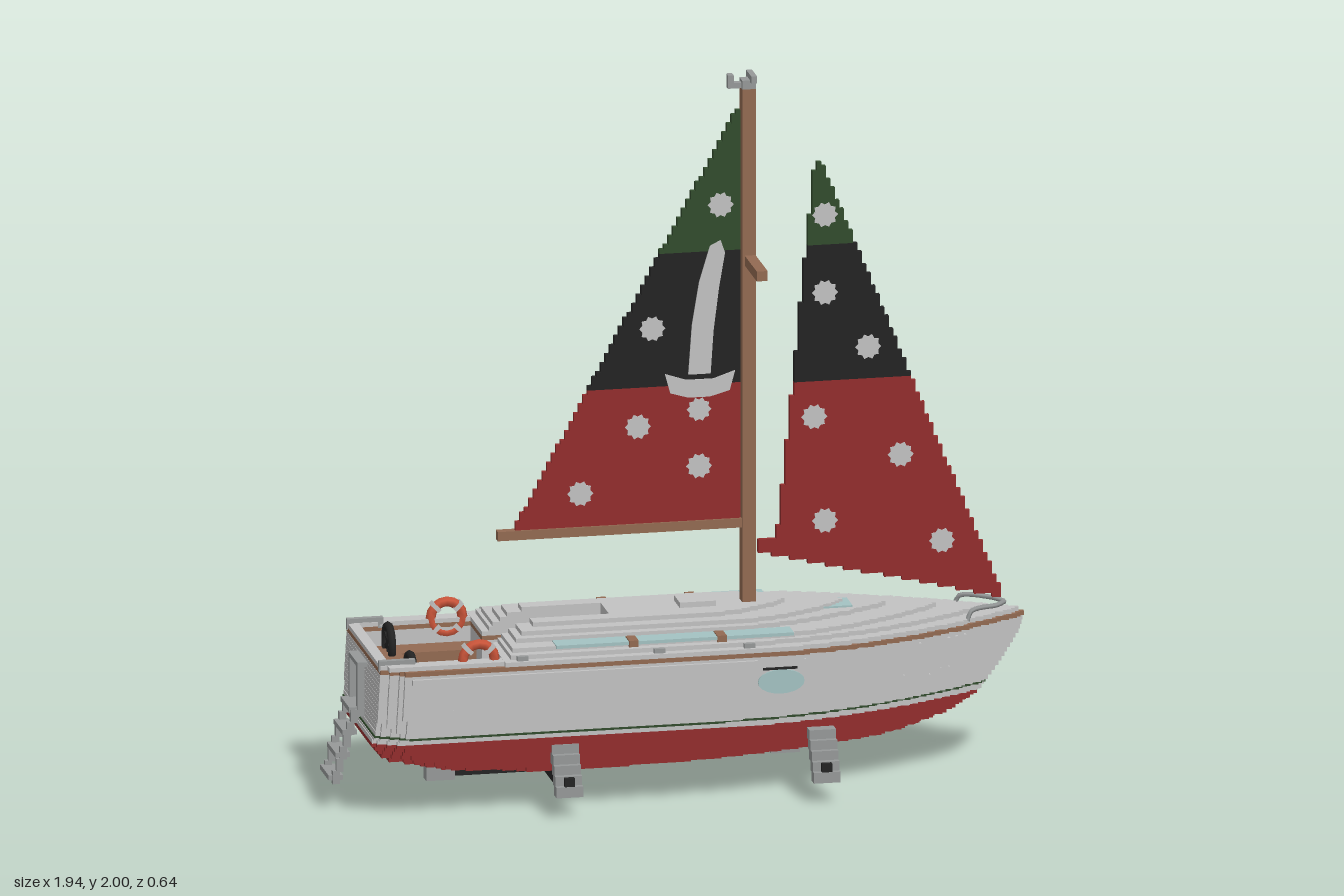
import * as THREE from 'three';

const V = 0.0125;   // step size of the blocky surface
const CZ = 0.035;   // centreline of the boat

const paint = (name, color) => Object.assign(new THREE.MeshStandardMaterial({ color }), { name });
const M = {
  grey: paint('pale grey', 0xc2c2c2),
  metal: paint('metal grey', 0x969999),
  red: paint('deep red', 0x932d2d),
  brown: paint('wood brown', 0x926a52),
  black: paint('black', 0x242424),
  green: paint('dark green', 0x324c2d),
  glass: paint('pale teal glass', 0xa3c2c2),
  orange: paint('life ring orange', 0xcb553a),
};

// Piecewise-linear lookup through [input, output] pairs
function lerpTable(table, v) {
  let i = 1;
  while (i < table.length - 1 && v > table[i][0]) i++;
  const [a, b] = [table[i - 1], table[i]];
  const t = Math.min(1, Math.max(0, (v - a[0]) / (b[0] - a[0])));
  return a[1] + (b[1] - a[1]) * t;
}

// Staircase outline between two curves lo(t) and hi(t)
function staircase(t0, t1, lo, hi, swap) {
  const n = Math.max(1, Math.round((t1 - t0) / V)), a = [], b = [];
  const put = (list, t, v) => list.push(swap ? new THREE.Vector2(v, t) : new THREE.Vector2(t, v));
  const snap = v => Math.round(v / V) * V;
  for (let i = 0; i < n; i++) {
    const s = t0 + (t1 - t0) * i / n, e = t0 + (t1 - t0) * (i + 1) / n, m = (s + e) / 2;
    const l = snap(lo(m)), h = Math.max(l + V, snap(hi(m)));
    put(a, s, l); put(a, e, l);
    put(b, s, h); put(b, e, h);
  }
  // Drop points lying on straight runs
  const pts = a.concat(b.reverse());
  return pts.filter((p, i) => {
    const q = pts[(i + pts.length - 1) % pts.length], r = pts[(i + 1) % pts.length];
    return Math.abs((p.x - q.x) * (r.y - p.y) - (p.y - q.y) * (r.x - p.x)) > 1e-9;
  });
}

const extrude = (shape, depth) => new THREE.ExtrudeGeometry(shape, { depth, bevelEnabled: false });

export function createModel() {
  const model = new THREE.Group();
  model.name = 'sailboat';

  const add = (name, geo, mat, x = 0, y = 0, z = CZ) => {
    const mesh = new THREE.Mesh(geo, mat);
    mesh.name = name;
    mesh.position.set(x, y, z);
    model.add(mesh);
    return mesh;
  };
  // Box from its limits; z is measured from the centreline
  const box = (name, mat, x0, x1, y0, y1, z0, z1) =>
    add(name, new THREE.BoxGeometry(x1 - x0, y1 - y0, z1 - z0), mat, (x0 + x1) / 2, (y0 + y1) / 2, CZ + (z0 + z1) / 2);
  const slab = (name, shape, mat, y, h) => add(name, extrude(shape, h).rotateX(-Math.PI / 2), mat, 0, y);

  // Hull: stacked slabs with staircase outlines
  const bow = [[0.11, 0.55], [0.13, 0.64], [0.17, 0.76], [0.22, 0.84], [0.3, 0.9], [0.38, 0.95], [0.43, 0.965]];
  const stern = [[0.11, -0.45], [0.13, -0.7], [0.17, -0.85], [0.22, -0.89], [0.26, -0.88], [0.44, -0.87]];
  const beam = [[0.11, 0.165], [0.16, 0.2], [0.22, 0.228], [0.235, 0.255], [0.3, 0.265], [0.44, 0.265]];
  const well = [[-0.84, -0.205], [-0.53, -0.205], [-0.53, -0.055], [-0.2, -0.055],
    [-0.2, 0.055], [-0.53, 0.055], [-0.53, 0.205], [-0.84, 0.205]].map(p => new THREE.Vector2(...p));
  const hullSlab = (name, mat, y, h) => {
    const ym = y + h / 2, x1 = lerpTable(bow, ym), x0 = lerpTable(stern, ym), w = lerpTable(beam, ym);
    const half = x => {
      const t = Math.min(1, (x1 - x) / 0.8), s = Math.min(1, 0.82 + (x - x0) * 2.2);
      return w * (1 - (1 - t) ** 2) * s;
    };
    const shape = new THREE.Shape(staircase(x0, x1, x => -half(x), half));
    if (y > 0.3) shape.holes.push(new THREE.Path(well));
    slab(name, shape, mat, y, h);
  };
  for (let i = 0; i < 26; i++) {
    const y = 0.11 + i * V;
    if (i < 9) hullSlab('hullBottom', M.red, y, V);
    else if (i === 10) {
      hullSlab('hullSide', M.grey, y, V / 2);
      hullSlab('waterline', M.green, y + V / 2, V / 2);
    } else if (i === 25) hullSlab('deckTrim', M.brown, y, V);
    else hullSlab('hullSide', M.grey, y, V);
  }

  // Deck and cabin roof: shrinking terraces with a companionway slot
  [[0.265, 0.95, -0.53, 0.8], [0.235, 0.86, -0.51, 0.72], [0.215, 0.72, -0.5, 0.55], [0.165, 0.58, -0.48, 0.5],
    [0.14, 0.46, -0.46, 0.35], [0.1, 0.3, -0.42, 0.25]].forEach(([w, x1, x0, taper], i) => {
    const half = x => w * (1 - (1 - Math.min(1, (x1 - x) / taper)) ** 2);
    const pts = staircase(x0, x1, x => -half(x), half);
    for (const p of [[x0, 0.055], [-0.2, 0.055], [-0.2, -0.055], [x0, -0.055]]) pts.push(new THREE.Vector2(...p));
    slab('cabinTerrace', new THREE.Shape(pts), M.grey, 0.435 + i * V, V);
  });
  box('roofVent', M.grey, 0.0, 0.1, 0.51, 0.525, -0.04, 0.04);
  box('foreHatch', M.glass, 0.4, 0.48, 0.483, 0.49, -0.04, 0.04);

  // Cockpit floor, benches and coaming
  box('cockpitFloor', M.brown, -0.84, -0.2, 0.31, 0.318, -0.052, 0.052);
  box('cockpitFloor', M.brown, -0.839, -0.531, 0.31, 0.32, -0.204, 0.204);
  box('sternBench', M.brown, -0.839, -0.74, 0.32, 0.38, -0.204, 0.204);
  box('sternCoaming', M.grey, -0.87, -0.84, 0.435, 0.447, -0.225, 0.225);

  for (const s of [-1, 1]) {
    const side = (name, mat, x0, x1, y0, y1, za, zb) =>
      box(name, mat, x0, x1, y0, y1, Math.min(s * za, s * zb), Math.max(s * za, s * zb));
    side('sideBench', M.brown, -0.74, -0.531, 0.32, 0.38, 0.12, 0.204);
    side('sideCoaming', M.grey, -0.85, -0.53, 0.435, 0.447, 0.205, 0.25);
    side('rubRail', M.grey, -0.79, 0.17, 0.4, 0.415, 0.255, 0.272);

    // Cabin windows with small wooden posts
    side('cabinWindow', M.glass, -0.38, 0.28, 0.466, 0.475, 0.16, 0.219);
    for (const x of [-0.165, 0.08]) side('windowPost', M.brown, x - 0.013, x + 0.013, 0.45, 0.478, 0.17, 0.222);

    // Oval porthole in the hull side
    const oval = add('porthole', new THREE.CylinderGeometry(0.034, 0.034, 0.008, 20).rotateX(Math.PI / 2),
      M.glass, 0.235, 0.352, CZ + s * 0.264);
    oval.scale.x = 1.9;
    side('portholeBrow', M.black, 0.185, 0.28, 0.386, 0.392, 0.255, 0.268);

    // Steering wheel
    const wz = CZ + s * 0.145;
    add('steeringWheel', new THREE.TorusGeometry(0.048, 0.011, 6, 20).rotateY(Math.PI / 2), M.black, -0.77, 0.405, wz);
    for (let k = 0; k < 3; k++) {
      add('wheelSpoke', new THREE.BoxGeometry(0.01, 0.09, 0.01).rotateX(k * Math.PI / 3), M.black, -0.77, 0.405, wz);
    }

    // Life ring with pale bands
    const rz = CZ + s * 0.215;
    add('lifeRing', new THREE.TorusGeometry(0.044, 0.014, 6, 16), M.orange, -0.595, 0.448, rz);
    for (let k = 0; k < 4; k++) {
      const a = Math.PI / 4 + k * Math.PI / 2;
      add('ringBand', new THREE.BoxGeometry(0.03, 0.012, 0.03).rotateZ(a), M.grey,
        -0.595 + 0.044 * Math.cos(a), 0.448 + 0.044 * Math.sin(a), rz);
    }

    // Stern rail, deck cleats and bow rail
    for (const x of [-0.865, -0.78]) side('sternPost', M.metal, x - 0.008, x + 0.008, 0.43, 0.46, 0.205, 0.222);
    side('sternRail', M.metal, -0.873, -0.772, 0.448, 0.46, 0.205, 0.222);
    for (const x of [-0.48, -0.1, 0.15]) side('cleat', M.metal, x - 0.015, x + 0.015, 0.445, 0.46, 0.242, 0.255);
    const rail = new THREE.CatmullRomCurve3([[0.79, 0.44, 0.085], [0.8, 0.465, 0.08], [0.88, 0.467, 0.04], [0.91, 0.465, 0]]
      .map(([x, y, z]) => new THREE.Vector3(x, y, s * z)));
    add('bowRail', new THREE.TubeGeometry(rail, 12, 0.007, 5), M.metal);

    // Stepped support legs with dark feet
    for (const x of [-0.355, 0.36]) {
      for (let k = 0; k < 5; k++) {
        const y = 0.165 - k * 0.026, z = 0.185 + k * 0.015;
        side('supportLeg', M.metal, x - 0.037, x + 0.037, y, y + 0.03, z, z + 0.035);
      }
      side('legCore', M.black, x - 0.014, x + 0.014, 0.065, 0.115, 0.22, 0.279);
    }
    side('ladderRail', M.metal, -0.9, -0.88, 0.26, 0.41, 0.045, 0.06);
    for (let k = 0; k < 6; k++) {
      const x = -0.908 - k * 0.01, y = 0.26 - k * 0.034;
      side('ladderRail', M.metal, x - 0.01, x + 0.01, y - 0.017, y + 0.02, 0.045, 0.06);
    }
  }
  // Ladder treads
  for (let k = 0; k < 4; k++) {
    const x = -0.9 - k * 0.019, y = 0.28 - k * 0.063;
    box('ladderTread', M.metal, x - 0.022, x + 0.018, y - 0.007, y + 0.007, -0.058, 0.058);
  }
  box('ladderHandle', M.metal, -0.9, -0.86, 0.4, 0.413, -0.06, 0.06);

  // Underside gear: axle, shaft, block and spare wheel
  box('axle', M.black, -0.37, -0.34, 0.062, 0.09, -0.27, 0.27);
  box('shaft', M.black, -0.64, -0.36, 0.064, 0.088, -0.013, 0.013);
  box('shaftBlock', M.metal, -0.7, -0.62, 0.055, 0.11, -0.02, 0.02);
  box('keelStrut', M.metal, 0.16, 0.3, 0.09, 0.111, -0.012, 0.012);
  box('keelStrut', M.metal, 0.26, 0.34, 0.075, 0.092, -0.012, 0.012);
  add('wheelTyre', new THREE.CylinderGeometry(0.057, 0.057, 0.024, 16).rotateX(Math.PI / 2), M.black, 0.362, 0.057, -0.313);
  add('wheelHub', new THREE.CylinderGeometry(0.026, 0.026, 0.03, 8).rotateX(Math.PI / 2), M.metal, 0.362, 0.057, -0.313);

  // Mast, spreader, boom and masthead fork
  box('mast', M.brown, 0.178, 0.216, 0.43, 1.96, -0.019, 0.019);
  box('spreader', M.brown, 0.185, 0.215, 1.462, 1.49, -0.18, 0.18);
  box('boom', M.brown, -0.5, 0.18, 0.72, 0.746, -0.013, 0.013);
  box('mastCap', M.metal, 0.178, 0.216, 1.96, 1.985, -0.019, 0.019);
  box('mastheadArm', M.metal, 0.14, 0.2, 1.962, 1.977, -0.01, 0.01);
  box('mastheadProng', M.metal, 0.14, 0.156, 1.97, 2, -0.012, 0.012);
  box('mastheadProng', M.metal, 0.2, 0.216, 1.98, 2, -0.035, 0.035);

  // Sails: three colour bands each, with staircase edges
  const sail = (name, bands, left, right) => bands.forEach(([y0, y1, mat]) =>
    add(name, extrude(new THREE.Shape(staircase(y0, y1, left, right, true)), 0.014), mat, 0, 0, CZ - 0.007));
  sail('mainSail', [[0.746, 1.13, M.red], [1.13, 1.505, M.black], [1.505, 1.9, M.green]],
    y => -0.455 + (y - 0.746) / 1.154 * 0.62, () => 0.178);
  sail('jib', [[0.48, 1.12, M.red], [1.12, 1.505, M.black], [1.505, 1.74, M.green]],
    y => y > 0.68 ? 0.28 + (y - 0.7) * 0.1 : y > 0.645 ? 0.23 : 0.23 + (0.645 - y) / 0.165 * 0.67,
    y => 0.4 + (1.74 - y) / 1.24 * 0.5);

  // Painted spots and curved sword, showing on both faces
  const plate = (name, pts) =>
    add(name, extrude(new THREE.Shape(pts.map(p => new THREE.Vector2(...p))), 0.022), M.grey, 0, 0, CZ - 0.011);
  const spot = (cx, cy, r = 0.036) => plate('sailSpot', Array.from({ length: 20 }, (_, i) => {
    const a = i / 20 * Math.PI * 2, q = i % 2 ? r * 0.8 : r;
    return [cx + q * Math.cos(a), cy + q * Math.sin(a)];
  }));
  for (const [x, y] of [[-0.27, 0.84], [-0.11, 1.02], [0.06, 0.9], [-0.07, 1.295], [0.12, 1.635],
    [0.41, 1.59], [0.41, 1.37], [0.53, 1.21], [0.38, 1.02], [0.62, 0.9], [0.41, 0.725], [0.735, 0.65]]) spot(x, y);
  plate('paintedBlade', [[0.03, 1.16], [0.04, 1.3], [0.06, 1.42], [0.09, 1.52], [0.12, 1.535], [0.132, 1.5],
    [0.115, 1.4], [0.1, 1.28], [0.092, 1.16]]);
  plate('paintedGuard', [[-0.035, 1.165], [-0.02, 1.11], [0.03, 1.095], [0.09, 1.095], [0.145, 1.11], [0.16, 1.165],
    [0.1, 1.145], [0.025, 1.145]]);
  spot(0.06, 1.06, 0.034);
  return model;
}
